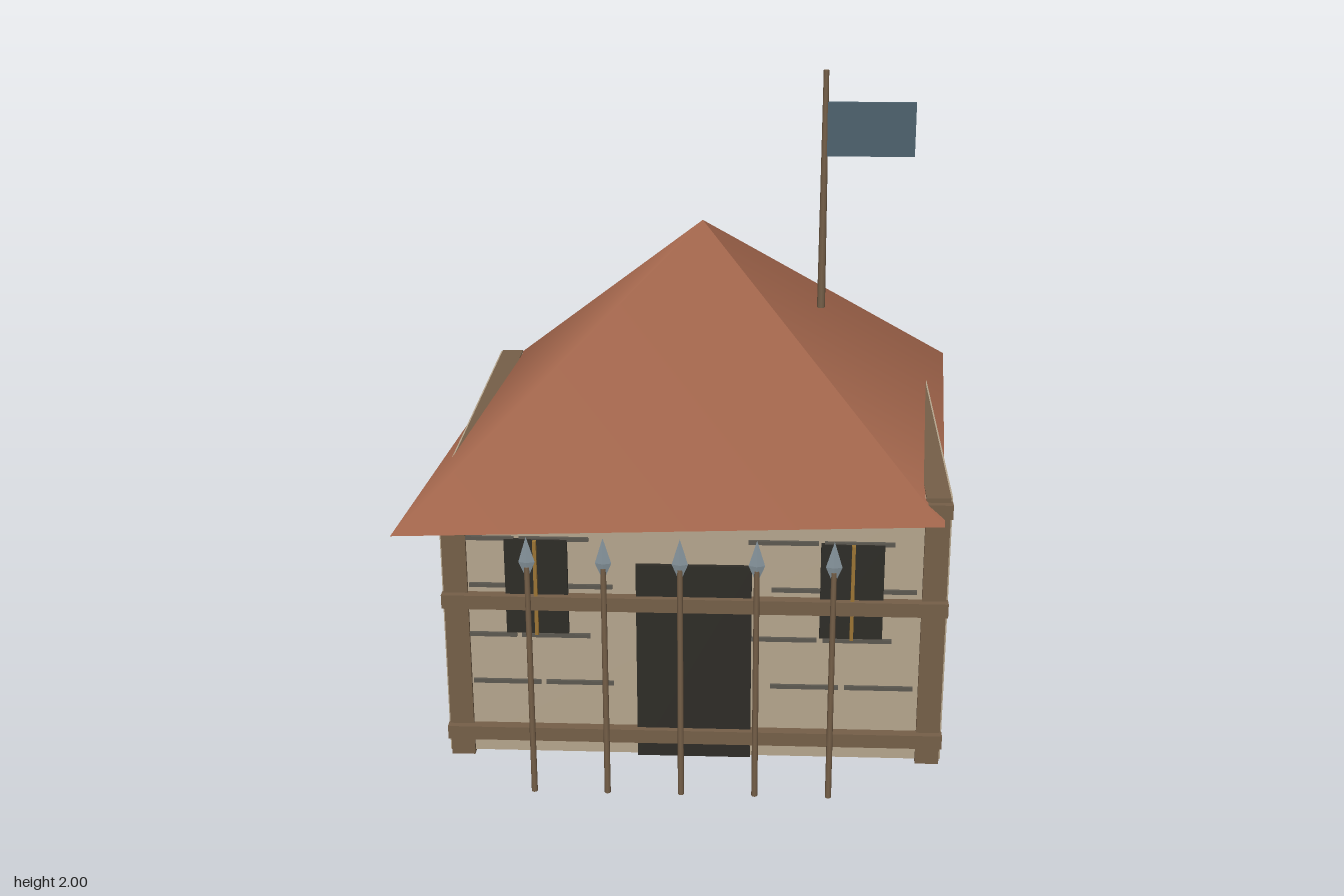
import * as THREE from 'three';

const paint = (color) => new THREE.MeshStandardMaterial({ color });

export function createModel() {
  const house = new THREE.Group();
  house.name = 'guardHouse';

  const plaster = paint(0xb5a58d);
  const timber = paint(0x755f48);
  const tile = paint(0xa3664c);
  const dark = paint(0x2e2c27);
  const stone = paint(0x5c5850);
  const gold = paint(0x9a7434);
  const steel = paint(0x84929a);
  const cloth = paint(0x4c616d);

  const add = (name, geometry, material, x, y, z) => {
    const mesh = new THREE.Mesh(geometry, material);
    mesh.name = name;
    mesh.position.set(x, y, z);
    house.add(mesh);
    return mesh;
  };
  // box given by its minimum and maximum on each axis
  const box = (name, material, [x0, x1], [y0, y1], [z0, z1]) =>
    add(name, new THREE.BoxGeometry(x1 - x0, y1 - y0, z1 - z0), material,
      (x0 + x1) / 2, (y0 + y1) / 2, (z0 + z1) / 2);

  // walls
  box('walls', plaster, [-0.69, 0.69], [0.11, 0.93], [-0.605, 0.605]);
  for (const s of [-1, 1]) {
    const span = (a, b) => (s > 0 ? [a, b] : [-b, -a]);
    box('sideTimber', timber, span(0.64, 0.708), [0.1, 0.935], [-0.614, 0.616]);
    box('sidePanel', plaster, span(0.7, 0.713), [0.11, 0.933], [-0.606, 0.606]);

    // windows with a central bar
    box('window', dark, span(0.355, 0.532), [0.5, 0.79], [0.59, 0.617]);
    box('windowBar', gold, span(0.44, 0.45), [0.5, 0.79], [0.61, 0.63]);
  }

  // horizontal beams across the front
  for (const y of [0.16, 0.58, 0.88]) {
    box('frontBeam', timber, [-0.713, 0.713], [y, y + 0.042], [0.6, 0.635]);
  }

  // door
  box('door', dark, [-0.163, 0.163], [0.11, 0.718], [0.59, 0.618]);

  // staggered stone courses either side of the door
  [0.34, 0.49, 0.645, 0.79].forEach((y, row) => {
    const shift = row % 2 ? 0 : 0.065;
    for (const x of [-0.7, -0.49, 0.153, 0.365]) {
      box('stoneCourse', stone, [x + shift, x + shift + 0.195],
        [y - 0.006, y + 0.006], [0.6, 0.613]);
    }
  });

  // four-sided roof, slightly longer along one diagonal
  const roof = add('roof', new THREE.ConeGeometry(1, 0.675, 4), tile, 0, 1.2175, 0);
  roof.rotation.y = Math.PI / 4;
  roof.scale.set(1.14, 1, 0.97);

  // row of spears
  const headProfile = [[0, 0.68], [0.023, 0.735], [0, 0.812]]
    .map(([r, y]) => new THREE.Vector2(r, y));
  const headMaterial = paint(0x84929a);
  headMaterial.flatShading = true;
  for (let i = 0; i < 5; i++) {
    const x = -0.465 + i * 0.214;
    add('spearShaft', new THREE.CylinderGeometry(0.008, 0.009, 0.72, 8), timber, x, 0.36, 0.645);
    const head = add('spearHead', new THREE.LatheGeometry(headProfile, 4), headMaterial, x, 0, 0.645);
    head.scale.z = 0.35;
  }

  // flag and pole
  add('flagPole', new THREE.CylinderGeometry(0.008, 0.012, 0.71, 8), timber, 0.355, 1.645, 0);
  box('flag', cloth, [0.36, 0.617], [1.75, 1.908], [-0.006, 0.006]);

  return house;
}
